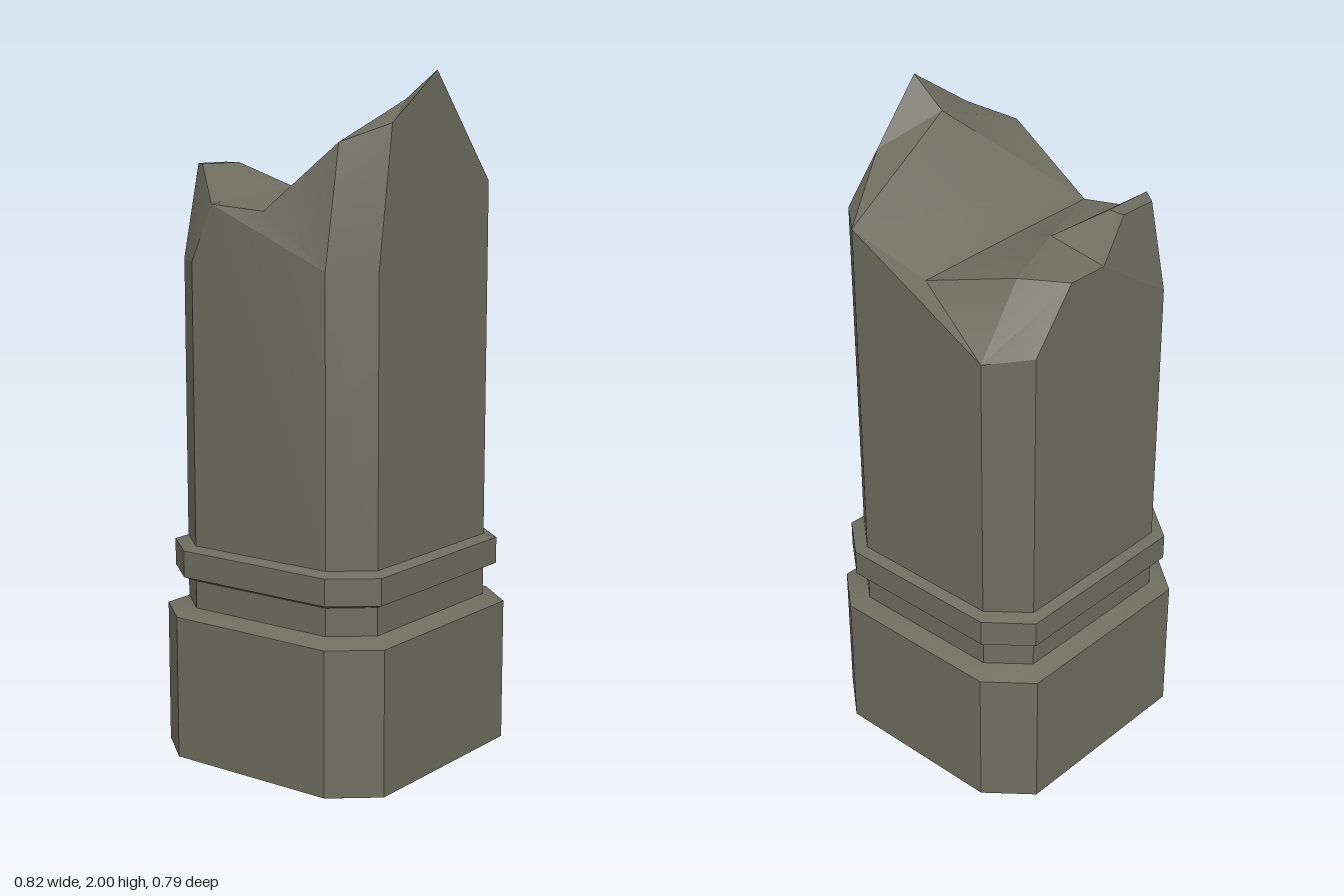
import * as THREE from 'three';
import { toCreasedNormals } from 'three/addons/utils/BufferGeometryUtils.js';

// Octagon loop (bevelled rectangle), anticlockwise seen from above
const octagon = (y, x, z, cx, cz) => [
  [-cx, y, z], [cx, y, z], [x, y, cz], [x, y, -cz],
  [cx, y, -z], [-cx, y, -z], [-x, y, -cz], [-x, y, cz],
];
const SHAFT = [0.36, 0.345, 0.268, 0.235];
const COLLAR = [0.39, 0.375, 0.292, 0.255];
const PLINTH = [0.41, 0.395, 0.305, 0.268];

function geometryFrom(tris) {
  const g = new THREE.BufferGeometry();
  g.setAttribute('position', new THREE.Float32BufferAttribute(tris.flat(2), 3));
  return toCreasedNormals(g, 0.45);
}

// Skin a stack of octagon loops, with an optional floor
function stack(rings, floor) {
  const tris = [];
  for (let r = 0; r + 1 < rings.length; r++) {
    const lo = rings[r], hi = rings[r + 1];
    for (let i = 0; i < 8; i++) {
      const j = (i + 1) % 8;
      tris.push([lo[i], lo[j], hi[j]], [lo[i], hi[j], hi[i]]);
    }
  }
  if (floor) for (let i = 1; i < 7; i++) tris.push([rings[0][0], rings[0][i + 1], rings[0][i]]);
  return geometryFrom(tris);
}

// Fan-triangulate polygons of named points, all facing away from the core
function facets(points, faces) {
  const core = new THREE.Vector3(0, 0.8, 0);
  const tris = [];
  for (const face of faces) {
    const p = face.split(' ').map((n) => points[n]);
    for (let i = 1; i + 1 < p.length; i++) {
      const [a, b, c] = [p[0], p[i], p[i + 1]].map((v) => new THREE.Vector3(...v));
      const normal = b.clone().sub(a).cross(c.clone().sub(a));
      const mid = a.clone().add(b).add(c).divideScalar(3).sub(core);
      tris.push(normal.dot(mid) > 0 ? [p[0], p[i], p[i + 1]] : [p[0], p[i + 1], p[i]]);
    }
  }
  return geometryFrom(tris);
}

export function createModel() {
  const group = new THREE.Group();
  const stone = new THREE.MeshStandardMaterial({ color: 0x6e6e60 });
  stone.name = 'weathered stone';
  const add = (name, geometry) => {
    const mesh = new THREE.Mesh(geometry, stone);
    mesh.name = name;
    group.add(mesh);
  };

  // Bevelled plinth
  add('plinth', stack([
    octagon(0, 0.365, 0.35, 0.27, 0.238),
    octagon(0.022, ...PLINTH),
    octagon(0.445, ...PLINTH),
    octagon(0.467, ...SHAFT),
  ], true));

  // Neck and raised collar
  add('collar', stack([
    octagon(0.467, ...SHAFT),
    octagon(0.548, ...SHAFT),
    octagon(0.562, ...COLLAR),
    octagon(0.64, ...COLLAR),
    octagon(0.652, ...SHAFT),
  ], false));

  // Shaft corners at the collar, then the broken rim going round
  const foot = octagon(0.652, ...SHAFT);
  const P = {
    a: [-0.268, 1.47, 0.345], b: [-0.21, 1.86, 0.345], c: [0, 2, 0.345],
    d: [0.15, 1.825, 0.345], e: [0.268, 1.69, 0.345], f: [0.36, 1.69, 0.235],
    g: [0.36, 1.45, -0.235], h: [0.268, 1.47, -0.345], i: [0.13, 1.64, -0.345],
    j: [0, 1.64, -0.345], k: [-0.268, 1.47, -0.345], l: [-0.36, 1.47, -0.235],
    m: [-0.36, 1.635, -0.16], n: [-0.36, 1.47, 0.235], o: [-0.3, 1.81, 0.235],
    // inner edge and hollow of the break
    q: [0.22, 1.65, -0.235], r: [0.29, 1.58, 0.03], s: [-0.33, 1.62, 0],
    t: [0, 1.92, 0.24], u: [0, 1.69, 0.1], v: [0, 1.605, 0.01], w: [0, 1.67, -0.16],
    // top of the small raised stub
    L1: [-0.235, 1.74, -0.315], L2: [-0.115, 1.74, -0.315],
    L3: [-0.115, 1.74, -0.265], L4: [-0.275, 1.74, -0.265],
  };
  foot.forEach((p, i) => { P['f' + i] = p; });

  // Upright sides and chamfers
  add('shaft', facets(P, [
    'c b a f0 f1 e d', 'e f f2 f1', 'f g f3 f2', 'g h f4 f3',
    'j k f5 f4 h i', 'k l f6 f5', 'm l f6 f7 n', 'n a f0 f7',
    // chipped shoulders
    'n a b o', 'd e f', 'r q g f', 'g q i h', 's o n m',
  ]));

  // Broken top with its valley and stub
  add('brokenTop', facets(P, [
    'c b t', 'b o t', 'c d t', 'd f t',
    't o s u', 's v u', 't f u', 'u f r', 'u r v',
    's v w m', 'v r q w', 'w q i j',
    'L1 L2 L3 L4', 'L4 L3 w m', 'L3 L2 j w',
    'L2 L1 k j', 'L1 L4 l k', 'L4 m l',
  ]));

  return group;
}
